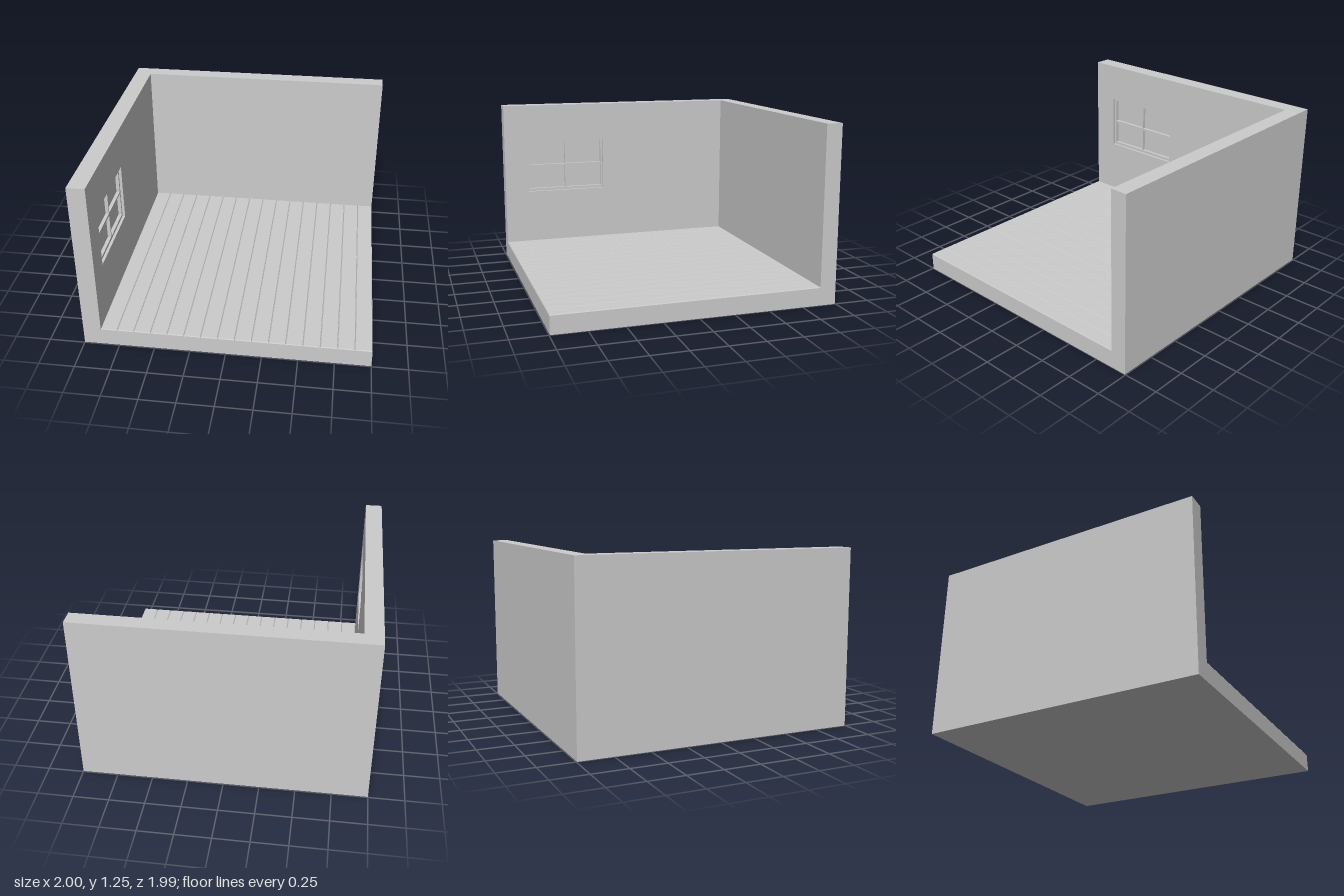
import * as THREE from 'three';

const material = new THREE.MeshStandardMaterial({ color: 0xcccccc, flatShading: true });

// Overall extents and inner faces of the room corner
const X0 = -1, X1 = 1, Z0 = -0.995, Z1 = 0.995, HEIGHT = 1.255;
const WALL_X = -0.875, WALL_Z = -0.88;
const SLAB_TOP = 0.126, FLOOR_TOP = 0.132;
const NICHE_DEPTH = 0.045, FRAME_RECESS = 0.02;

function add(group, name, geometry) {
  const mesh = new THREE.Mesh(geometry, material);
  mesh.name = name;
  group.add(mesh);
  return mesh;
}

// Box given by its minimum and maximum corners
function block(group, name, [ax, ay, az], [bx, by, bz]) {
  const mesh = add(group, name, new THREE.BoxGeometry(bx - ax, by - ay, bz - az));
  mesh.position.set((ax + bx) / 2, (ay + by) / 2, (az + bz) / 2);
  return mesh;
}

function rect(Type, [a0, b0, a1, b1]) {
  return new Type([[a0, b0], [a1, b0], [a1, b1], [a0, b1]].map(p => new THREE.Vector2(...p)));
}

// Panel in the z-y plane with rectangular holes; its front is at x and it runs towards -x
function panel(group, name, outline, holes, x, depth) {
  const shape = rect(THREE.Shape, outline);
  shape.holes = holes.map(h => rect(THREE.Path, h));
  const mesh = add(group, name, new THREE.ExtrudeGeometry(shape, { depth, bevelEnabled: false }));
  mesh.rotation.y = -Math.PI / 2;
  mesh.position.x = x;
}

// Floor board whose top edges are chamfered
function plankGeometry(width, height, length, chamfer) {
  const geometry = new THREE.BoxGeometry(width, height, length);
  const p = geometry.attributes.position;
  for (let i = 0; i < p.count; i++) {
    if (p.getY(i) < 0) continue;
    p.setX(i, p.getX(i) - Math.sign(p.getX(i)) * chamfer);
    p.setZ(i, p.getZ(i) - Math.sign(p.getZ(i)) * chamfer);
  }
  geometry.computeVertexNormals();
  return geometry;
}

export function createModel() {
  const room = new THREE.Group();
  room.name = 'roomCorner';

  // Walls and floor slab
  block(room, 'backWall', [X0, 0, Z0], [X1, HEIGHT, WALL_Z]);
  block(room, 'sideWallOuter', [X0, 0, WALL_Z], [WALL_X - NICHE_DEPTH, HEIGHT, Z1]);
  const niche = [0.178, 0.546, 0.81, 0.968];
  panel(room, 'sideWallInner', [WALL_Z, 0, Z1, HEIGHT], [niche], WALL_X, NICHE_DEPTH);
  block(room, 'floorSlab', [WALL_X, 0, WALL_Z], [X1, SLAB_TOP, Z1]);

  // Window frame with four panes, set back in the niche
  const panes = [];
  for (const [z0, z1] of [[0.194, 0.487], [0.498, 0.794]]) {
    for (const [y0, y1] of [[0.567, 0.749], [0.765, 0.947]]) panes.push([z0, y0, z1, y1]);
  }
  panel(room, 'windowFrame', niche, panes, WALL_X - FRAME_RECESS, NICHE_DEPTH - FRAME_RECESS);

  // Floor boards running front to back
  const planks = new THREE.Group();
  planks.name = 'floorPlanks';
  room.add(planks);
  const count = 16, pitch = (X1 - WALL_X) / count;
  const board = plankGeometry(pitch - 0.001, FLOOR_TOP - SLAB_TOP, Z1 - WALL_Z, 0.004);
  for (let i = 0; i < count; i++) {
    const plank = add(planks, 'plank', board);
    plank.position.set(WALL_X + (i + 0.5) * pitch, (SLAB_TOP + FLOOR_TOP) / 2, (Z1 + WALL_Z) / 2);
  }

  return room;
}
